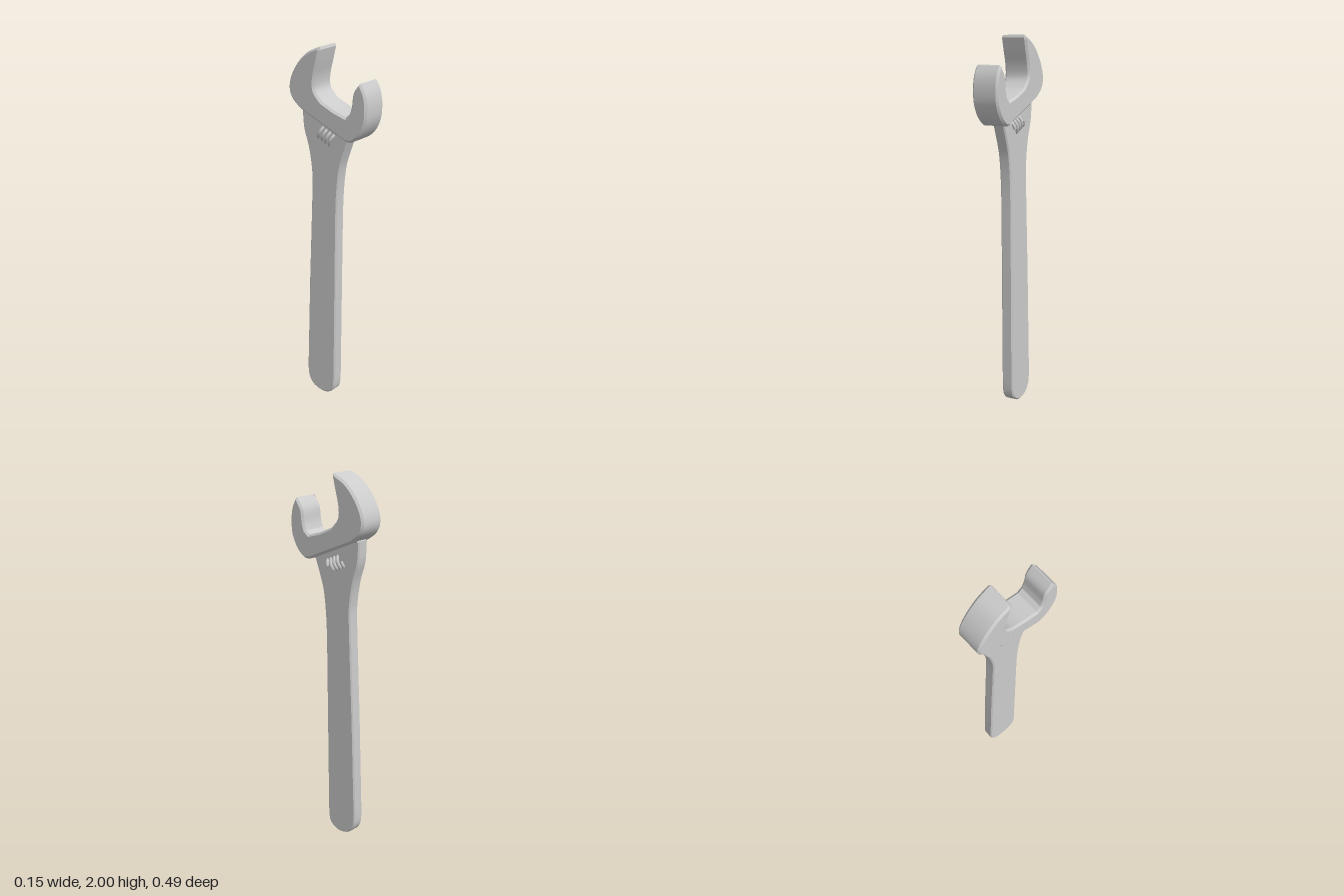
import * as THREE from 'three';
import { toCreasedNormals } from 'three/addons/utils/BufferGeometryUtils.js';

const material = new THREE.MeshStandardMaterial({ color: 0xcccccc });
const SLOPE = Math.atan2(0.122, 0.286); // tilt of the jaw underside

// Joins runs of points: each run is a smooth curve, corners lie between runs.
function outline(...runs) {
  const pts = [];
  for (const run of runs) {
    const v = run.map(([x, y]) => new THREE.Vector2(x, y));
    pts.push(...(v.length > 2 ? new THREE.SplineCurve(v).getPoints((v.length - 1) * 4) : v));
  }
  return pts;
}

// Extrudes a side profile symmetrically about x = 0; profile u runs toward -z.
function plate(name, pts, holes, half, bevel, creaseAngle = 0.5) {
  const shape = new THREE.Shape(pts);
  shape.holes = holes.map((h) => new THREE.Path(h));
  const geo = new THREE.ExtrudeGeometry(shape, {
    depth: 2 * (half - bevel), bevelEnabled: bevel > 0, bevelThickness: bevel,
    bevelSize: bevel, bevelOffset: -bevel, bevelSegments: 1,
  });
  geo.translate(0, 0, bevel - half).rotateY(Math.PI / 2);
  const mesh = new THREE.Mesh(toCreasedNormals(geo, creaseAngle), material);
  mesh.name = name;
  return mesh;
}

export function createModel() {
  const model = new THREE.Group();
  model.name = 'adjustableWrench';

  // Head with the open jaws
  model.add(plate('jaws', outline(
    [[0.17, 1.667], [0.222, 1.708], [0.245, 1.76], [0.234, 1.825], [0.19, 1.90], [0.127, 1.962], [0.048, 2.0]],
    [[0.042, 1.985], [0.058, 1.92], [0.078, 1.84], [0.076, 1.775], [0.032, 1.725]],
    [[-0.045, 1.692], [-0.118, 1.671]],
    [[-0.142, 1.69], [-0.154, 1.73], [-0.165, 1.80], [-0.204, 1.853]],
    [[-0.21, 1.85], [-0.236, 1.80], [-0.247, 1.735], [-0.24, 1.656], [-0.205, 1.587], [-0.155, 1.547], [-0.116, 1.545]],
  ), [], 0.074, 0.011));

  // Handle: raised rim around the recessed panel and the hanging hole
  const rimOuter = outline(
    [[-0.114, 1.55], [-0.075, 1.445], [-0.052, 1.36], [-0.037, 1.21], [-0.032, 1.02]],
    [[-0.021, 0.12], [-0.012, 0.045], [0.025, 0.01], [0.07, 0.0], [0.13, 0.018], [0.166, 0.065], [0.174, 0.13]],
    [[0.154, 0.70], [0.132, 1.21], [0.133, 1.34], [0.153, 1.46], [0.183, 1.56], [0.19, 1.672]],
    [[0.12, 1.685], [-0.05, 1.61]],
  );
  const rimInner = outline(
    [[-0.066, 1.578], [-0.035, 1.49], [-0.02, 1.37], [-0.011, 1.19]],
    [[-0.006, 0.70], [0.005, 0.23]],
    [[0.007, 0.10], [0.015, 0.055], [0.04, 0.033], [0.075, 0.028], [0.115, 0.037], [0.138, 0.07], [0.144, 0.13]],
    [[0.143, 0.23], [0.130, 0.62], [0.116, 1.13], [0.110, 1.36], [0.106, 1.655]],
  );
  model.add(plate('handleRim', rimOuter, [rimInner], 0.033, 0.007));

  // Recessed web with the notched lower edge and the window for the screw
  const panel = outline(
    [[-0.075, 1.578], [-0.044, 1.49], [-0.029, 1.37], [-0.019, 1.19]],
    [[-0.014, 0.70], [-0.003, 0.22]],
    [[0.012, 0.222], [0.04, 0.238], [0.062, 0.252], [0.085, 0.255], [0.12, 0.238], [0.15, 0.23]],
    [[0.138, 0.62], [0.124, 1.13], [0.118, 1.36], [0.115, 1.655]],
  );
  const screwWindow = outline([[-0.036, 1.572], [-0.008, 1.464], [0.1, 1.486], [0.077, 1.62]]);
  model.add(plate('handlePanel', panel, [screwWindow], 0.021, 0.004));

  // Adjusting screw: shaft, core and a helical thread
  const screw = new THREE.Group();
  screw.name = 'adjustingScrew';
  const part = (name, geo) => {
    const mesh = new THREE.Mesh(geo, material);
    mesh.name = name;
    screw.add(mesh);
  };
  part('screwShaft', new THREE.CylinderGeometry(0.014, 0.014, 0.16, 16));
  part('screwCore', new THREE.CylinderGeometry(0.032, 0.032, 0.095, 24));
  const turns = 4, length = 0.1, helix = [];
  for (let i = 0; i <= turns * 16; i++) {
    const a = (i / 16) * Math.PI * 2;
    helix.push(new THREE.Vector3(
      0.043 * Math.cos(a), length * (i / (turns * 16) - 0.5), 0.043 * Math.sin(a)));
  }
  part('screwThread', new THREE.TubeGeometry(new THREE.CatmullRomCurve3(helix), 160, 0.009, 8));
  screw.position.set(0, 1.538, -0.033);
  screw.rotation.x = -(Math.PI / 2 - SLOPE);
  model.add(screw);

  return model;
}
